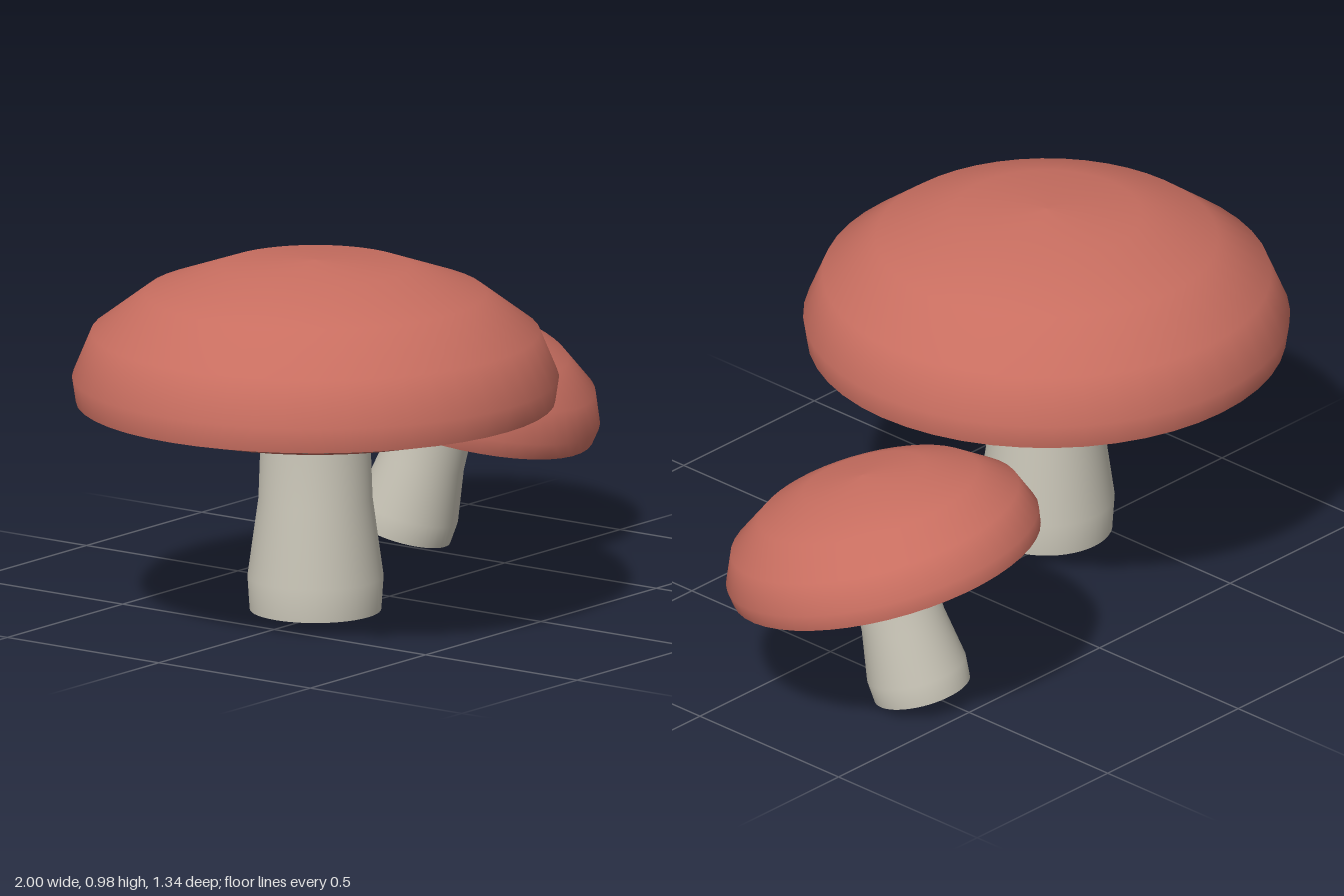
import * as THREE from 'three';

const capRed = new THREE.MeshStandardMaterial({ color: 0xc86e60 });
capRed.name = 'cap red';
const stemCream = new THREE.MeshStandardMaterial({ color: 0xcac6b8 });
stemCream.name = 'stem cream';

// Profiles run from the bottom centre outward and up, as [radius, height]
function lathe(name, profile, material) {
  const points = profile.map(([r, y]) => new THREE.Vector2(r, y));
  const mesh = new THREE.Mesh(new THREE.LatheGeometry(points, 48), material);
  mesh.name = name;
  return mesh;
}

// Heights start at the foot of the stem
function createMushroom(name, stemWidth) {
  const mushroom = new THREE.Group();
  mushroom.name = name;

  // Flared stem with a flat foot
  const stem = new THREE.Group();
  stem.name = 'stem';
  stem.add(
    lathe('stemFoot', [[0, 0], [0.173, 0]], stemCream),
    lathe('stemSide', [[0.173, 0], [0.179, 0.09], [0.15, 0.3], [0.142, 0.525]], stemCream),
  );
  stem.scale.set(stemWidth, 1, stemWidth);

  // Domed cap, shallow underside and pale gill rings
  const cap = new THREE.Group();
  cap.name = 'cap';
  cap.add(
    lathe('capDome', [[0.63, 0.56], [0.64, 0.627], [0.59, 0.747], [0.45, 0.852], [0.25, 0.923], [0, 0.94]], capRed),
    lathe('capInnerUnderside', [[0, 0.517], [0.295, 0.516]], capRed),
    lathe('gillRing', [[0.295, 0.516], [0.357, 0.515]], stemCream),
    lathe('capOuterUnderside', [[0.357, 0.515], [0.45, 0.515], [0.622, 0.558]], capRed),
    lathe('rimRing', [[0.622, 0.558], [0.63, 0.56]], stemCream),
  );
  mushroom.add(stem, cap);
  return mushroom;
}

export function createModel() {
  const model = new THREE.Group();
  model.name = 'mushrooms';

  const large = createMushroom('largeMushroom', 1);
  large.position.set(-0.36, 0.04, 0.03);

  // Smaller mushroom leaning forward and outward, with a stouter stem
  const small = createMushroom('smallMushroom', 1.13);
  small.scale.setScalar(0.664);
  small.position.set(0.533, 0.04, -0.362);
  const lean = new THREE.Vector3(0.1, 0.96, 0.25).normalize();
  small.quaternion.setFromUnitVectors(new THREE.Vector3(0, 1, 0), lean);

  model.add(large, small);
  return model;
}
